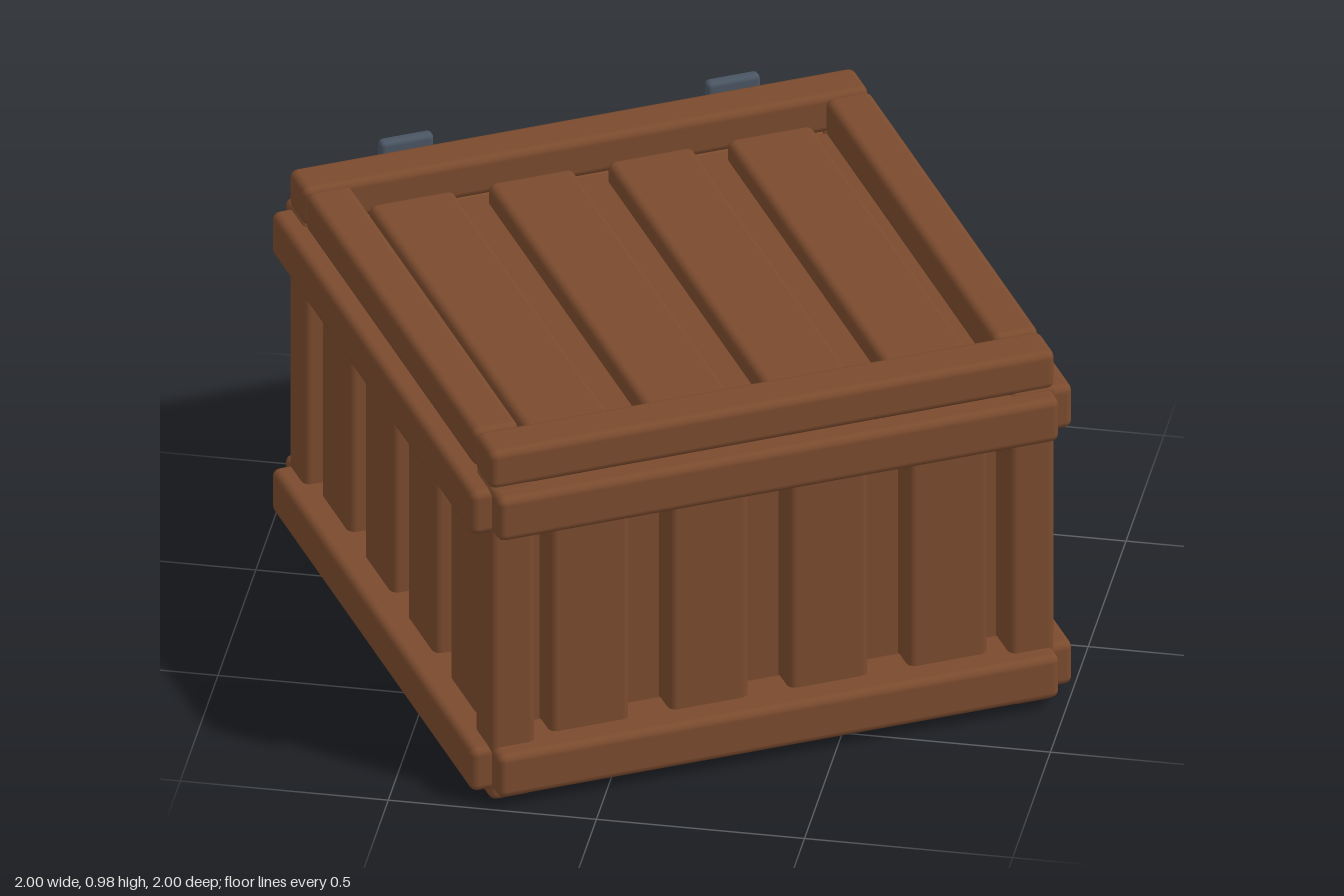
import * as THREE from 'three';
import { RoundedBoxGeometry } from 'three/addons/geometries/RoundedBoxGeometry.js';

const wood = new THREE.MeshStandardMaterial({ color: 0x7b4b2e });
wood.name = 'brown wood';
const metal = new THREE.MeshStandardMaterial({ color: 0x4a5563 });
metal.name = 'blue grey iron';

// Bevelled block given by its minimum and maximum corners
function block(parent, name, min, max, material = wood, bevel = 0.02) {
  const size = max.map((m, i) => m - min[i]);
  const radius = Math.min(bevel, Math.min(...size) * 0.45);
  const mesh = new THREE.Mesh(new RoundedBoxGeometry(...size, 2, radius), material);
  mesh.position.set(...max.map((m, i) => (m + min[i]) / 2));
  mesh.name = name;
  parent.add(mesh);
}

export function createModel() {
  const crate = new THREE.Group();
  crate.name = 'crate';
  const plankCentres = [-0.45, -0.15, 0.15, 0.45];
  const wallHalf = 0.1; // half the width of a wall plank
  const lidHalf = 0.108; // half the width of a lid plank
  const edge = 0.71; // outer face of the frame
  const inner = 0.595; // inner face of the frame

  // Solid core behind the planks
  block(crate, 'innerBox', [-0.605, 0.004, -0.605], [0.605, 0.85, 0.605], wood, 0.005);

  // Corner posts
  const mid = (edge + inner) / 2, h = (edge - inner) / 2;
  for (const x of [-mid, mid]) for (const z of [-mid, mid])
    block(crate, 'cornerPost', [x - h, 0, z - h], [x + h, 0.865, z + h]);

  // Four identical walls: planks, outer rails and a base board
  for (let i = 0; i < 4; i++) {
    const wall = new THREE.Group();
    wall.name = 'wall';
    wall.rotation.y = i * Math.PI / 2;
    for (const c of plankCentres)
      block(wall, 'wallPlank', [c - wallHalf, 0.06, 0.59], [c + wallHalf, 0.82, 0.685]);
    block(wall, 'lowerRail', [-0.705, 0.03, 0.6], [0.705, 0.148, 0.756]);
    block(wall, 'upperRail', [-0.705, 0.733, 0.6], [0.705, 0.852, 0.756]);
    block(wall, 'baseBoard', [-inner, 0.002, 0.6], [inner, 0.1, 0.7]);
    crate.add(wall);
  }

  // Lid: raised frame around sunken planks
  const lid = new THREE.Group();
  lid.name = 'lid';
  for (const s of [-mid, mid]) {
    block(lid, 'lidLongBoard', [-edge, 0.852, s - h], [edge, 0.956, s + h]);
    block(lid, 'lidSideBoard', [s - h, 0.852, -inner], [s + h, 0.955, inner]);
  }
  for (const c of plankCentres)
    block(lid, 'lidPlank', [c - lidHalf, 0.83, -0.58], [c + lidHalf, 0.9, 0.58]);
  crate.add(lid);

  // Two hinges on the back
  for (const x of [-0.41, 0.41]) {
    const hinge = new THREE.Group();
    hinge.name = 'hinge';
    block(hinge, 'hingeLeaf', [x - 0.067, 0.713, -0.738], [x + 0.067, 0.977, -0.706], metal, 0.012);
    block(hinge, 'hingeKnuckle', [x - 0.083, 0.845, -0.754], [x + 0.083, 0.902, -0.706], metal, 0.02);
    crate.add(hinge);
  }

  // The whole crate stands turned on the ground
  crate.rotation.y = Math.PI / 6;
  const model = new THREE.Group();
  model.name = 'woodenCrate';
  model.add(crate);
  return model;
}
